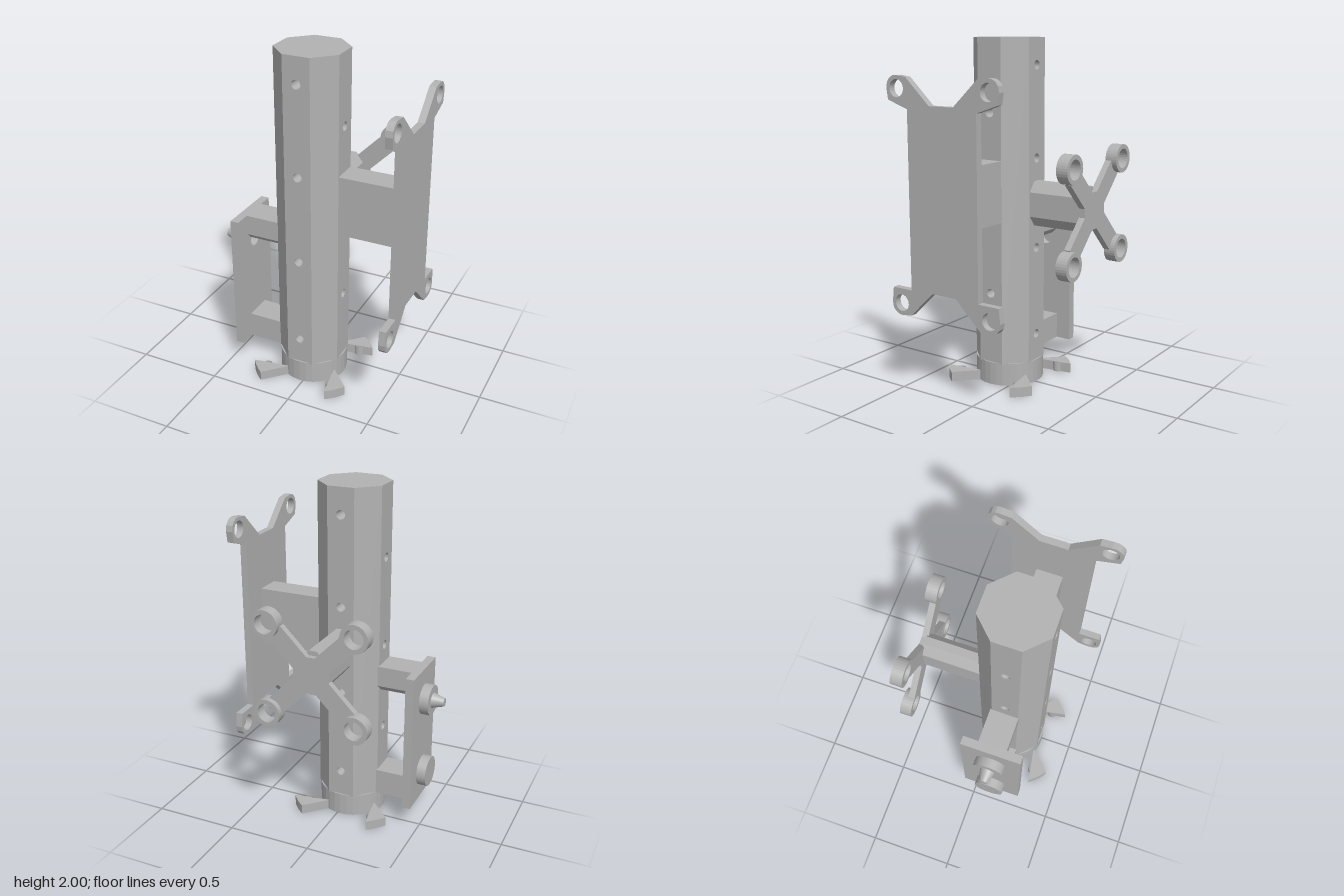
import * as THREE from 'three';

export function createModel() {
  const model = new THREE.Group();
  const grey = new THREE.MeshStandardMaterial({ color: 0xb2b2b2, side: THREE.DoubleSide });
  const CX = -0.02, CZ = 0.11; // column axis

  const add = (name, geometry, x = 0, y = 0, z = 0, parent = model) => {
    const mesh = new THREE.Mesh(geometry, grey);
    mesh.name = name;
    mesh.position.set(x, y, z);
    parent.add(mesh);
    return mesh;
  };
  const polygon = (pts) => new THREE.Shape(pts.map(([x, y]) => new THREE.Vector2(x, y)));
  const circle = (x, y, r) => new THREE.Path().absarc(x, y, r, 0, Math.PI * 2, true);
  const disc = (r) => new THREE.Shape().absarc(0, 0, r, 0, Math.PI * 2, false);
  const extrude = (shape, depth) =>
    new THREE.ExtrudeGeometry(shape, { depth, bevelEnabled: false, curveSegments: 16 });
  // Outline drawn in (z, y), thickness running towards -x
  const sideways = (shape, depth) => extrude(shape, depth).rotateY(-Math.PI / 2);
  // Outline drawn flat, thickness running up
  const upright = (shape, depth) => extrude(shape, depth).rotateX(-Math.PI / 2);

  // Octagonal column with cross-drilled holes
  const column = new THREE.Group();
  column.name = 'column';
  column.position.set(CX, 0, CZ);
  model.add(column);
  const apothem = 0.19, half = apothem * Math.tan(Math.PI / 8), low = 0.13, holeR = 0.026;
  const frontHoles = [0.29, 0.81, 1.33, 1.85], sideHoles = [0.55, 1.07, 1.59];
  for (let k = 0; k < 8; k++) {
    const a = k * Math.PI / 4;
    const face = polygon([[-half, low], [half, low], [half, 2], [-half, 2]]);
    const holes = k % 4 === 0 ? frontHoles : k % 4 === 2 ? sideHoles : [];
    holes.forEach((y) => face.holes.push(circle(0, y, holeR)));
    const mesh = add('columnFace', new THREE.ShapeGeometry(face, 12),
      apothem * Math.sin(a), 0, apothem * Math.cos(a), column);
    mesh.rotation.y = a;
  }
  for (const [y, tilt] of [[2, -1], [low, 1]]) {
    const cap = new THREE.CircleGeometry(apothem / Math.cos(Math.PI / 8), 8, Math.PI / 8);
    add('columnCap', cap.rotateX(tilt * Math.PI / 2), 0, y, 0, column);
  }
  const bore = () => new THREE.CylinderGeometry(holeR, holeR, apothem * 2, 24, 1, true);
  frontHoles.forEach((y) => add('frontBore', bore().rotateX(Math.PI / 2), 0, y, 0, column));
  sideHoles.forEach((y) => add('sideBore', bore().rotateZ(Math.PI / 2), 0, y, 0, column));

  // Base collar with four drilled feet
  const collar = disc(0.2);
  collar.holes.push(circle(0, 0, 0.14));
  add('baseCollar', upright(collar, 0.135), CX, 0, CZ);
  for (let k = 0; k < 4; k++) {
    const foot = new THREE.Shape();
    const sweep = Math.asin(0.064 / 0.366);
    foot.moveTo(0.18, -0.064);
    foot.absarc(0, 0, 0.366, -sweep, sweep, false);
    foot.lineTo(0.18, 0.064);
    foot.holes.push(circle(0.297, 0, 0.03));
    add('foot', upright(foot, 0.058), CX, 0, CZ).rotation.y = Math.PI / 4 + k * Math.PI / 2;
  }

  // Large plate with four eared corners, on its arm
  add('plateArm', new THREE.BoxGeometry(0.39, 0.35, 0.155), 0.36, 1.15, 0.11);
  const upperEar = [[0.23, 1.627], [0.362, 1.672], [0.372, 1.735], [0.366, 1.768],
    [0.349, 1.79], [0.327, 1.802], [0.3, 1.804], [0.236, 1.796], [0.08, 1.65]];
  const lowerEar = [[0.08, 0.634], [0.236, 0.484], [0.3, 0.476], [0.327, 0.479],
    [0.349, 0.491], [0.366, 0.512], [0.372, 0.545], [0.362, 0.63], [0.23, 0.63]];
  const halfOutline = [...lowerEar, ...upperEar];
  const mirrored = halfOutline.map(([u, v]) => [-u, v]).reverse();
  const plate = polygon([...halfOutline, ...mirrored]);
  for (const u of [-0.302, 0.302])
    for (const v of [0.547, 1.735]) plate.holes.push(circle(u, v, 0.048));
  add('largePlate', sideways(plate, 0.04), 0.585, 0, 0.115);

  // Control panel on two struts
  const panel = polygon([[-0.18, 0.135], [0.18, 0.135], [0.18, 0.965], [-0.18, 0.965]]);
  panel.holes.push(circle(0, 0.777, 0.045));
  add('controlPanel', sideways(panel, 0.05), -0.41, 0, 0.11);
  add('lowerStrut', new THREE.BoxGeometry(0.21, 0.155, 0.17), -0.31, 0.2125, 0.107);
  const strut = polygon([[-0.05, 0.81], [0.05, 0.81], [0.085, 0.845], [0.085, 0.965],
    [-0.085, 0.965], [-0.085, 0.845]]);
  add('upperStrut', sideways(strut, 0.205), -0.205, 0, 0.107);
  for (const y of [0.31, 0.777]) {
    const knob = new THREE.CylinderGeometry(0.09, 0.09, 0.055, 32).rotateZ(Math.PI / 2);
    add('knob', knob, -0.4875, y, 0.11);
  }
  const tip = new THREE.CylinderGeometry(0.024, 0.045, 0.07, 24).rotateZ(Math.PI / 2);
  add('knobTip', tip, -0.55, 0.777, 0.11);

  // Rear post with chamfered corners
  const post = polygon([[-0.07, -0.07], [-0.024, -0.128], [0.024, -0.128], [0.07, -0.07],
    [0.07, 0.07], [0.024, 0.128], [-0.024, 0.128], [-0.07, 0.07]]);
  add('rearPost', extrude(post, 0.355), CX, 1.073, -0.43);

  // Rear cross bracket ending in four rings
  const cross = [];
  const reach = 0.305 / Math.SQRT2, side = 0.056 / Math.SQRT2;
  for (let k = 0; k < 4; k++) {
    const c = Math.round(Math.cos(k * Math.PI / 2)), s = Math.round(Math.sin(k * Math.PI / 2));
    const arm = [[0.104, 0.025], [reach + side, reach - side],
      [reach - side, reach + side], [0.025, 0.104]];
    arm.forEach(([x, y]) => cross.push([x * c - y * s, x * s + y * c]));
  }
  add('crossBracket', extrude(polygon(cross), 0.037), CX, 1.07, -0.46);
  for (const dx of [-0.26, 0.26])
    for (const dy of [-0.26, 0.26]) {
      const ring = disc(0.08);
      ring.holes.push(circle(0, 0, 0.055));
      add('bracketRing', extrude(ring, 0.068), CX + dx, 1.07 + dy, -0.49);
    }

  return model;
}
